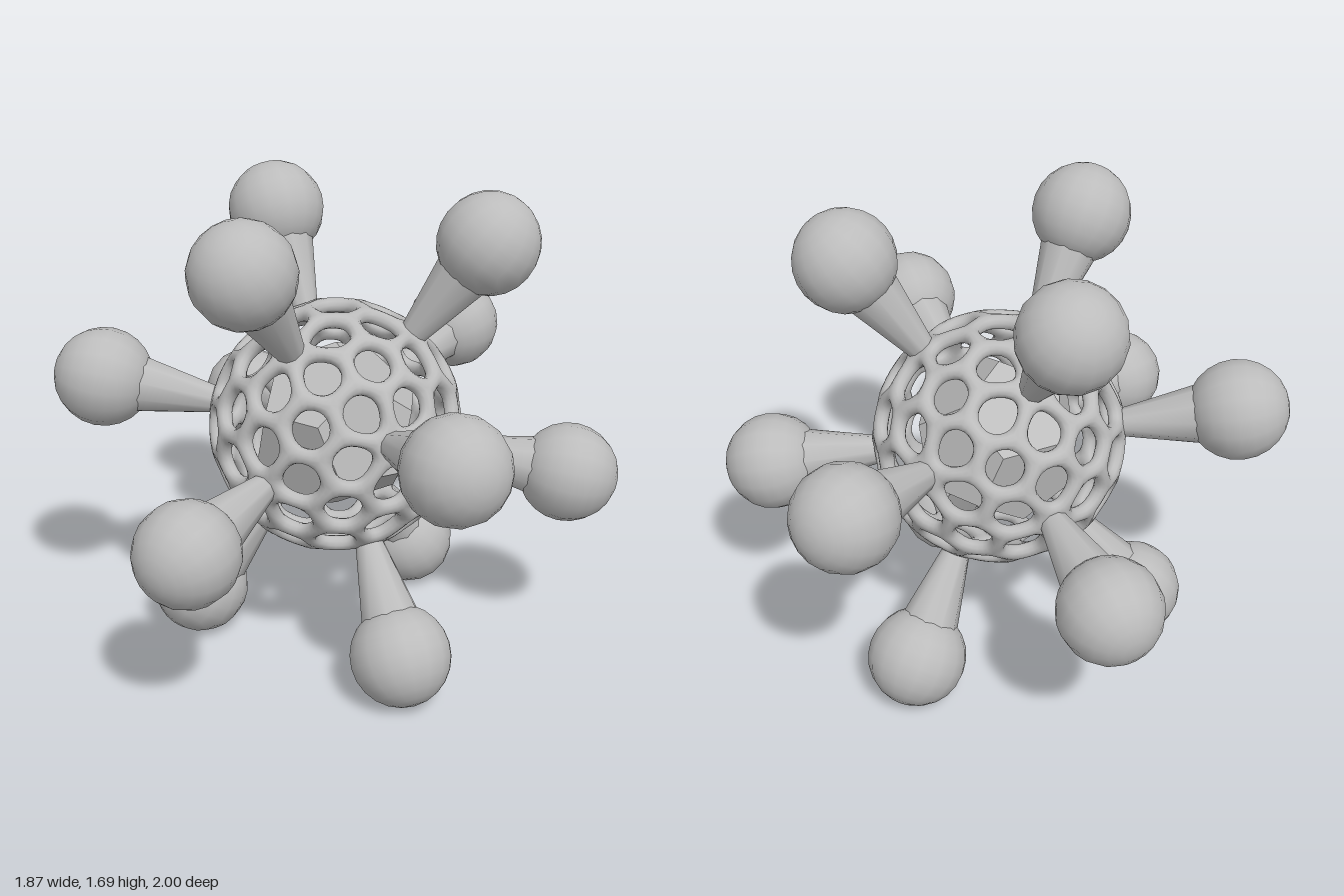
import * as THREE from 'three';
import { mergeVertices } from 'three/addons/utils/BufferGeometryUtils.js';

const CENTRE_Y = 0.862, SHELL_R = 0.45, BALL_DIST = 0.845, BALL_R = 0.177;
const rad = THREE.MathUtils.degToRad;

// Twelve spike directions: icosahedron corners with a face pointing straight up
function spikeDirections() {
  const dirs = [];
  for (let k = 0; k < 3; k++) {
    for (const [turn, y] of [[23.6, 0.7947], [83.6, 0.1876]]) {
      const a = rad(turn + 120 * k), h = Math.sqrt(1 - y * y);
      const d = new THREE.Vector3(h * Math.cos(a), y, h * Math.sin(a));
      dirs.push(d, d.clone().negate());
    }
  }
  return dirs;
}

// Cells of the lattice: each icosahedron face is cut in thirds, and the small
// triangles around every point give that point's cell corners
function latticeCells(dirs) {
  const cells = new Map();
  const cellAt = (p, spike) => {
    const key = p.toArray().map(v => Math.round(v * 1000) + 0).join();
    if (!cells.has(key)) cells.set(key, { centre: p, corners: [], spike });
    return cells.get(key);
  };
  const near = (a, b) => a.dot(b) > 0.4;
  for (let i = 0; i < 12; i++) for (let j = i + 1; j < 12; j++) for (let k = j + 1; k < 12; k++) {
    const [a, b, c] = [dirs[i], dirs[j], dirs[k]];
    if (!near(a, b) || !near(b, c) || !near(a, c)) continue;
    const at = (u, v) => cellAt(new THREE.Vector3().addScaledVector(a, 3 - u - v)
      .addScaledVector(b, u).addScaledVector(c, v).normalize(),
      (u === 0 && v === 0) || u === 3 || v === 3);
    const addTriangle = (...three) => {
      const corner = new THREE.Vector3();
      three.forEach(t => corner.add(t.centre));
      corner.normalize();
      // corners beside a spike are drawn in towards its foot
      const foot = three.find(t => t.spike);
      if (foot) corner.lerp(foot.centre, 0.32).normalize();
      three.forEach(t => t.corners.push(corner));
    };
    for (let u = 0; u < 3; u++) for (let v = 0; u + v < 3; v++) {
      addTriangle(at(u, v), at(u + 1, v), at(u, v + 1));
      if (u + v < 2) addTriangle(at(u + 1, v), at(u + 1, v + 1), at(u, v + 1));
    }
  }
  return [...cells.values()];
}

// Rounded lattice: every cell is a ring swept around its hole
function shellGeometry(cells) {
  // inset towards the hole centre, and radius
  const section = [[0, 0.452], [0.13, 0.45], [0.24, 0.441], [0.29, 0.427],
    [0.27, 0.413], [0.17, 0.404], [0, 0.4]];
  const positions = [];
  const STEPS = 4;
  for (const { centre, corners, spike } of cells) {
    // order the corners anticlockwise as seen from outside
    const ux = corners[0].clone().projectOnPlane(centre).normalize();
    const uy = centre.clone().cross(ux);
    const ring = corners.slice().sort((p, q) =>
      Math.atan2(p.dot(uy), p.dot(ux)) - Math.atan2(q.dot(uy), q.dot(ux)));
    const middle = new THREE.Vector3();
    ring.forEach(p => middle.add(p));
    middle.normalize();
    const n = ring.length, edge = [], hole = [];
    for (let i = 0; i < n; i++) {
      const before = ring[(i + n - 1) % n], p = ring[i], q = ring[(i + 1) % n], after = ring[(i + 2) % n];
      for (let s = 0; s < STEPS; s++) {
        const t = s / STEPS;
        edge.push(p.clone().lerp(q, t));
        // the hole outline cuts its corners round
        const cut = t < 0.5 ? before.clone().lerp(q, 0.5) : p.clone().lerp(after, 0.5);
        const base = p.clone().lerp(q, t);
        hole.push(base.lerp(cut, 0.25 * Math.abs(1 - 2 * t) ** 2));
      }
    }
    const m = edge.length;
    const point = (i, [inset, r]) => edge[i % m].clone()
      .lerp(hole[i % m], Math.min(1, inset / 0.24))
      .lerp(middle, inset).normalize().multiplyScalar(r);
    const tri = (...pts) => pts.forEach(p => positions.push(p.x, p.y, p.z));
    for (let i = 0; i < m; i++) {
      if (spike) { // closed foot under a spike
        const lo = section[section.length - 1], hi = section[0];
        tri(point(i, hi), point(i + 1, hi), middle.clone().multiplyScalar(hi[1]));
        tri(point(i + 1, lo), point(i, lo), middle.clone().multiplyScalar(lo[1]));
        continue;
      }
      for (let k = 0; k < section.length - 1; k++) {
        const a = point(i, section[k]), b = point(i + 1, section[k]);
        const c = point(i + 1, section[k + 1]), d = point(i, section[k + 1]);
        tri(a, b, c);
        tri(a, c, d);
      }
    }
  }
  const raw = new THREE.BufferGeometry();
  raw.setAttribute('position', new THREE.Float32BufferAttribute(positions, 3));
  const geometry = mergeVertices(raw, 1e-4);
  geometry.computeVertexNormals();
  return geometry;
}

// Solid core: a dodecahedron whose faces look along the spikes
function coreGeometry(dirs, radius) {
  const positions = [];
  for (const d of dirs) {
    const round = dirs.filter(e => e !== d && e.dot(d) > 0.4);
    const ux = round[0].clone().projectOnPlane(d).normalize(), uy = d.clone().cross(ux);
    round.sort((p, q) => Math.atan2(p.dot(uy), p.dot(ux)) - Math.atan2(q.dot(uy), q.dot(ux)));
    const pts = round.map((p, i) => p.clone().add(round[(i + 1) % 5]).add(d).setLength(radius));
    for (let i = 1; i < 4; i++) for (const p of [pts[0], pts[i], pts[i + 1]]) positions.push(p.x, p.y, p.z);
  }
  const geometry = new THREE.BufferGeometry();
  geometry.setAttribute('position', new THREE.Float32BufferAttribute(positions, 3));
  geometry.computeVertexNormals();
  return geometry;
}

export function createModel() {
  const model = new THREE.Group();
  model.name = 'spikedLatticeSphere';
  const grey = new THREE.MeshStandardMaterial({ color: 0xbcbcbc });
  grey.name = 'plain grey';
  const add = (parent, name, geometry, y = 0) => {
    const mesh = new THREE.Mesh(geometry, grey);
    mesh.name = name;
    mesh.position.y = y;
    parent.add(mesh);
  };

  const dirs = spikeDirections();
  add(model, 'latticeShell', shellGeometry(latticeCells(dirs)), CENTRE_Y);
  add(model, 'innerCore', coreGeometry(dirs, 0.31), CENTRE_Y);

  // Spikes: a flared stem ending in a ball
  const stemFrom = 0.4, stemTo = 0.72;
  const stem = new THREE.CylinderGeometry(0.105, 0.042, stemTo - stemFrom, 10, 1, true);
  const ball = new THREE.SphereGeometry(BALL_R, 16, 12);
  const up = new THREE.Vector3(0, 1, 0);
  dirs.forEach(d => {
    const spike = new THREE.Group();
    spike.name = 'spike';
    spike.position.y = CENTRE_Y;
    spike.quaternion.setFromUnitVectors(up, d);
    add(spike, 'spikeStem', stem, (stemFrom + stemTo) / 2);
    add(spike, 'spikeBall', ball, BALL_DIST);
    model.add(spike);
  });
  return model;
}
